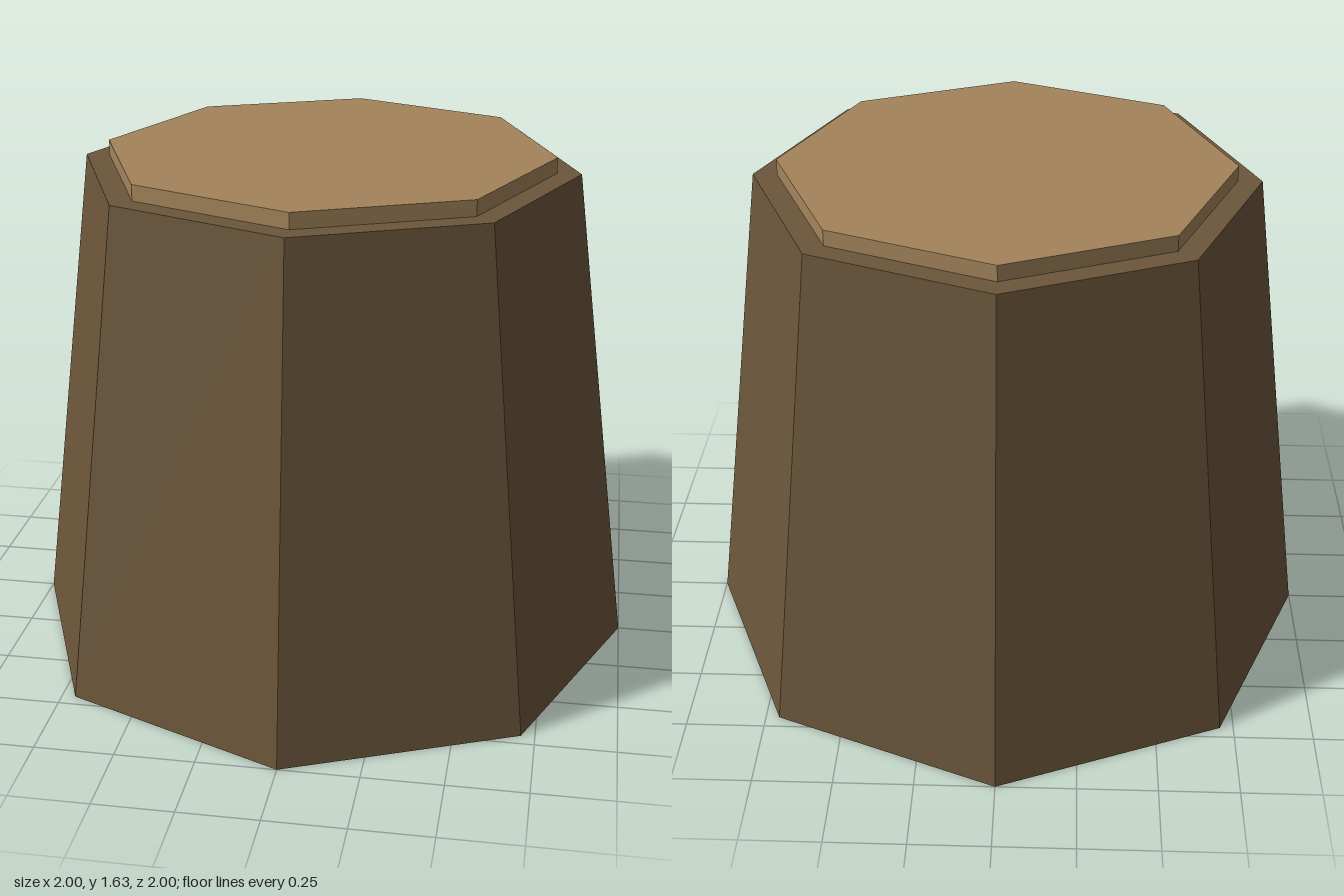
import * as THREE from 'three';

const SIDES = 8;

export function createModel() {
  const bark = new THREE.MeshStandardMaterial({ color: 0x6b563a, flatShading: true });
  bark.name = 'bark brown';
  const cutWood = new THREE.MeshStandardMaterial({ color: 0xa3845b, flatShading: true });
  cutWood.name = 'cut wood tan';

  const group = new THREE.Group();
  group.name = 'stump';

  // Eight-sided prism standing on the given height
  const addPrism = (name, topRadius, bottomRadius, bottomY, height, material) => {
    const geometry = new THREE.CylinderGeometry(topRadius, bottomRadius, height, SIDES);
    geometry.translate(0, bottomY + height / 2, 0);
    const mesh = new THREE.Mesh(geometry, material);
    mesh.name = name;
    group.add(mesh);
  };

  // Tapered trunk and the thin pale disc on its cut top
  addPrism('trunk', 0.79, 1, 0, 1.585, bark);
  addPrism('cutTop', 0.714, 0.714, 1.585, 0.05, cutWood);

  return group;
}
